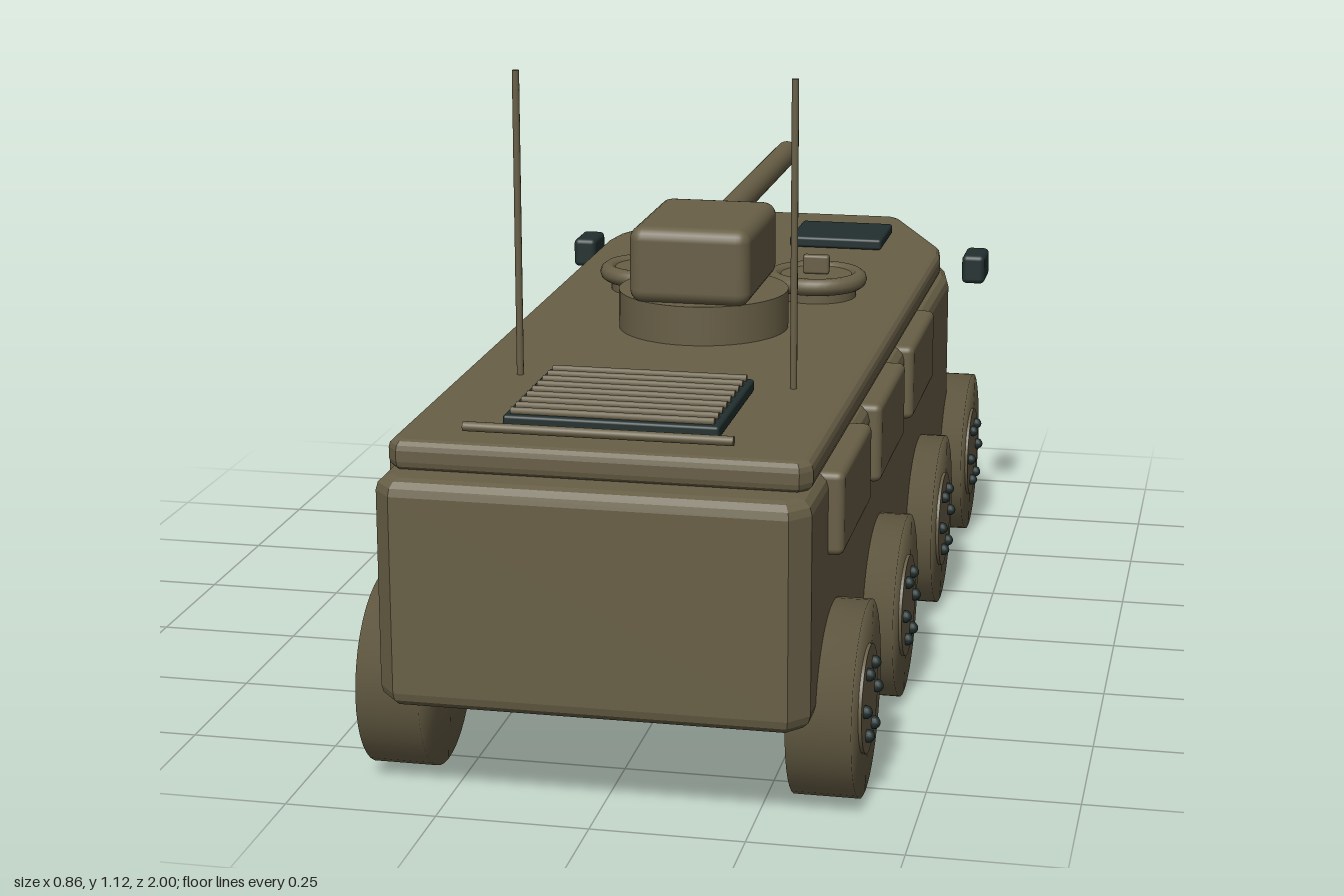
import * as THREE from 'three';
import { mergeVertices } from 'three/addons/utils/BufferGeometryUtils.js';
import { RoundedBoxGeometry } from 'three/addons/geometries/RoundedBoxGeometry.js';

export function createModel() {
  const model = new THREE.Group();
  model.name = 'armouredCarrier';

  const olive = new THREE.MeshStandardMaterial({ color: 0x685f46 });
  olive.name = 'olive paint';
  const dark = new THREE.MeshStandardMaterial({ color: 0x22302f });
  dark.name = 'dark glass and steel';

  const add = (name, geometry, material, x = 0, y = 0, z = 0, parent = model) => {
    const mesh = new THREE.Mesh(geometry, material);
    mesh.name = name;
    mesh.position.set(x, y, z);
    parent.add(mesh);
    return mesh;
  };
  const box = (w, h, d, r) => new RoundedBoxGeometry(w, h, d, 3, r);

  // Weld caps to walls so the whole surface shades smoothly
  const smooth = (g) => {
    g.deleteAttribute('normal');
    g.deleteAttribute('uv');
    const welded = mergeVertices(g);
    welded.computeVertexNormals();
    return welded;
  };

  // Bevelled slab from one half of a mirrored plan outline, given as [x, z]
  const slab = (half, y0, y1, bevel) => {
    const right = half.map(([x, z]) => new THREE.Vector2(x, -z));
    const left = half.map(([x, z]) => new THREE.Vector2(-x, -z)).reverse();
    const g = new THREE.ExtrudeGeometry(new THREE.Shape([...right, ...left]), {
      depth: y1 - y0 - 2 * bevel, bevelEnabled: true, bevelThickness: bevel,
      bevelSize: bevel, bevelOffset: -bevel, bevelSegments: 3,
    });
    return g.rotateX(-Math.PI / 2).translate(0, y0 + bevel, 0);
  };

  // Hull and roof deck, nose towards -z
  add('hull', slab([[0.215, -1], [0.245, -0.955], [0.345, -0.68], [0.36, -0.6],
    [0.345, 0.965], [0.315, 1]], 0.18, 0.553, 0.025), olive);
  add('roofDeck', slab([[0.2, -0.937], [0.22, -0.915], [0.335, -0.65], [0.345, -0.58],
    [0.338, 0.915], [0.32, 0.937]], 0.55, 0.6, 0.016), olive);

  // Wheels: four axles, each with hub and six bolts
  const tyreGeo = smooth(new THREE.CylinderGeometry(0.16, 0.16, 0.105, 40).rotateZ(Math.PI / 2));
  const hubGeo = new THREE.CylinderGeometry(0.089, 0.089, 0.02, 32).rotateZ(Math.PI / 2);
  const boltGeo = new THREE.SphereGeometry(0.011, 10, 8);
  for (const side of [-1, 1]) {
    for (const z of [0.765, 0.305, -0.205, -0.675]) {
      const wheel = new THREE.Group();
      wheel.name = 'wheel';
      wheel.position.set(side * 0.35, 0.163, z);
      model.add(wheel);
      add('tyre', tyreGeo, olive, 0, 0, 0, wheel);
      add('hub', hubGeo, olive, side * 0.048, 0, 0, wheel);
      for (let i = 0; i < 6; i++) {
        const a = (i * Math.PI) / 3;
        add('wheelBolt', boltGeo, dark, side * 0.061, Math.sin(a) * 0.06, Math.cos(a) * 0.06, wheel);
      }
    }

    // Stowage boxes along the flanks
    for (const z of [0.67, 0.265, -0.14]) {
      add('stowageBox', box(0.05, 0.137, 0.3, 0.012), olive, side * 0.346, 0.485, z);
    }

    // Mirrors, windows and antennas
    add('mirror', box(0.046, 0.058, 0.09, 0.01), dark, side * 0.405, 0.556, -0.68);
    add('roofWindow', box(0.187, 0.022, 0.163, 0.006), dark, side * 0.132, 0.613, -0.655);
    add('antenna', new THREE.CylinderGeometry(0.006, 0.006, 0.52, 10), olive, side * 0.235, 0.86, 0.503);

    // Roof hatches: lid, rim and handle
    const hatch = new THREE.Group();
    hatch.name = 'hatch';
    hatch.position.set(side * 0.16, 0.6, -0.173);
    model.add(hatch);
    add('hatchLid', new THREE.CylinderGeometry(0.075, 0.075, 0.042, 32), olive, 0, 0.021, 0, hatch);
    add('hatchRim', new THREE.TorusGeometry(0.08, 0.016, 10, 36).rotateX(Math.PI / 2), olive, 0, 0.033, 0, hatch);
    add('hatchHandle', box(0.05, 0.036, 0.018, 0.005), olive, 0, 0.06, 0, hatch);
  }

  // Turret with gun
  add('turretRing', new THREE.CylinderGeometry(0.153, 0.153, 0.074, 48), olive, 0, 0.633, 0.102);
  add('turret', box(0.217, 0.138, 0.29, 0.024), olive, 0, 0.736, 0.097);
  const rod = (r, length) => new THREE.CylinderGeometry(r, r, length, 20).rotateX(Math.PI / 2);
  add('gunBarrel', rod(0.024, 0.76), olive, 0, 0.761, -0.378);
  add('secondBarrel', rod(0.01, 0.46), olive, 0, 0.742, -0.23);

  // Engine grille with slats
  add('grillePanel', box(0.35, 0.022, 0.3, 0.005), dark, 0, 0.611, 0.686);
  const slatGeo = new THREE.CylinderGeometry(0.007, 0.007, 0.33, 8).rotateZ(Math.PI / 2);
  for (let i = 0; i < 9; i++) add('grilleSlat', slatGeo, olive, 0, 0.625, 0.55 + i * 0.0335);

  // Tow bar across the rear of the roof
  add('rearBar', new THREE.CylinderGeometry(0.008, 0.008, 0.43, 12).rotateZ(Math.PI / 2), olive, 0, 0.625, 0.918);

  return model;
}
